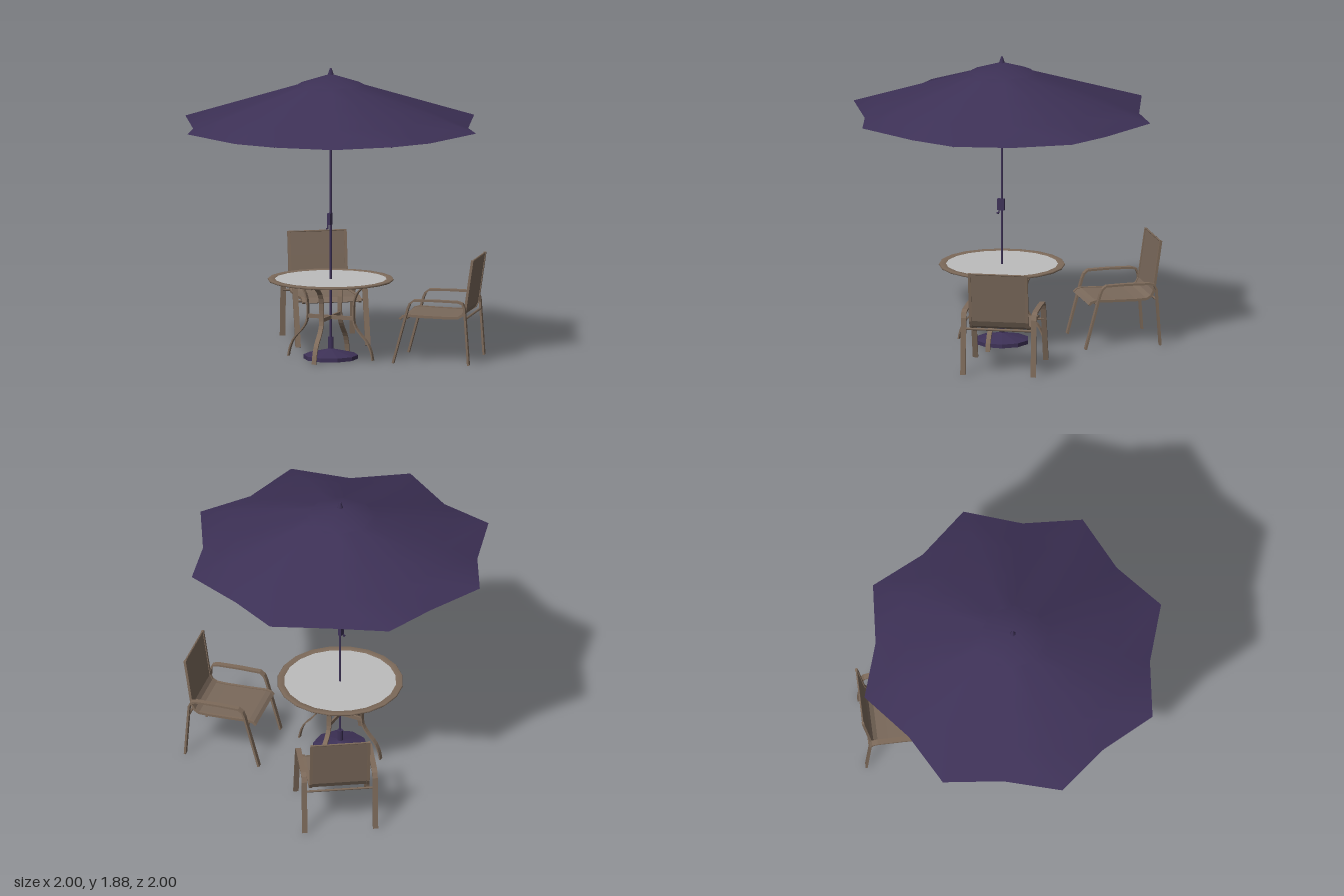
import * as THREE from 'three';

const mat = (name, color, side = THREE.FrontSide) => {
  const m = new THREE.MeshStandardMaterial({ color, side });
  m.name = name;
  return m;
};

export function createModel() {
  const purple = mat('purple canvas', 0x3d3156, THREE.DoubleSide);
  const frame = mat('bronze frame', 0x7d6a5a);
  const sling = mat('taupe sling', 0x7a695b);
  const glass = mat('pale glass', 0xbcbcbc);

  const root = new THREE.Group();
  const group = (name, parent = root) => {
    const g = new THREE.Group();
    g.name = name;
    parent.add(g);
    return g;
  };
  const add = (parent, name, geo, material, x = 0, y = 0, z = 0) => {
    const m = new THREE.Mesh(geo, material);
    m.name = name;
    m.position.set(x, y, z);
    parent.add(m);
    return m;
  };

  // flat bar following an (x, y) path, centred on z
  const strip = (pts, thick, width, steps = 0) => {
    let p = pts.map(([x, y]) => new THREE.Vector2(x, y));
    if (steps) p = new THREE.SplineCurve(p).getPoints(steps);
    const side = (s) => p.map((q, i) => {
      const d = p[Math.min(i + 1, p.length - 1)].clone().sub(p[Math.max(i - 1, 0)]).normalize();
      return new THREE.Vector2(q.x - d.y * s * thick / 2, q.y + d.x * s * thick / 2);
    });
    const shape = new THREE.Shape([...side(1), ...side(-1).reverse()]);
    return new THREE.ExtrudeGeometry(shape, { depth: width, bevelEnabled: false }).translate(0, 0, -width / 2);
  };

  // round rod between two points
  const rod = (parent, name, a, b, r, material, sides = 6) => {
    const A = new THREE.Vector3(...a), B = new THREE.Vector3(...b);
    const d = B.clone().sub(A);
    const m = add(parent, name, new THREE.CylinderGeometry(r, r, d.length(), sides), material);
    m.position.copy(A).add(B).multiplyScalar(0.5);
    m.quaternion.setFromUnitVectors(new THREE.Vector3(0, 1, 0), d.normalize());
    return m;
  };

  // ---- umbrella ----
  const umbrella = group('umbrella');

  // eight-panel cloth: ribs at even spokes, scalloped and sagging between them
  const cloth = (top, ribR, ribY, midR, midY, rings) => {
    const pos = [0, top, 0], idx = [];
    for (let k = 1; k <= rings; k++) {
      const t = k / rings;
      for (let i = 0; i < 16; i++) {
        const a = i * Math.PI / 8, mid = i % 2;
        const flatY = top + (ribY - top) * t * (mid ? midR / (ribR * Math.cos(Math.PI / 8)) : 1);
        const endY = top + (ribY - top) * midR / (ribR * Math.cos(Math.PI / 8));
        const y = mid ? flatY + (midY - endY) * t * t : flatY;
        const r = (mid ? midR : ribR) * t;
        pos.push(Math.cos(a) * r, y, Math.sin(a) * r);
      }
    }
    for (let i = 0; i < 16; i++) {
      const j = (i + 1) % 16;
      idx.push(0, 1 + j, 1 + i);
      for (let k = 0; k < rings - 1; k++) {
        const a = 1 + k * 16, b = a + 16;
        idx.push(a + i, a + j, b + i, a + j, b + j, b + i);
      }
    }
    const g = new THREE.BufferGeometry();
    g.setAttribute('position', new THREE.Float32BufferAttribute(pos, 3));
    g.setIndex(idx);
    g.computeVertexNormals();
    return g;
  };
  add(umbrella, 'canopy', cloth(1.835, 1, 1.515, 0.88, 1.49, 4), purple);
  add(umbrella, 'ventCap', cloth(1.845, 0.2, 1.779, 0.215, 1.774, 1), purple);
  add(umbrella, 'finial', new THREE.CylinderGeometry(0.006, 0.022, 0.05, 6), purple, 0, 1.855, 0);
  add(umbrella, 'pole', new THREE.CylinderGeometry(0.007, 0.007, 1.8, 8), purple, 0, 0.93, 0);
  add(umbrella, 'runner', new THREE.CylinderGeometry(0.016, 0.016, 0.04, 8), purple, 0, 1.535, 0);
  for (let i = 0; i < 8; i++) {
    const c = Math.cos(i * Math.PI / 4), s = Math.sin(i * Math.PI / 4);
    rod(umbrella, 'strut', [c * 0.01, 1.54, s * 0.01], [c * 0.47, 1.675, s * 0.47], 0.005, purple, 4);
    rod(umbrella, 'rib', [c * 0.02, 1.818, s * 0.02], [c * 0.98, 1.511, s * 0.98], 0.004, purple, 4);
  }

  // crank
  add(umbrella, 'crankHousing', new THREE.BoxGeometry(0.02, 0.075, 0.045), purple, -0.003, 0.905, 0.008);
  rod(umbrella, 'crankArm', [-0.008, 0.9, 0.02], [-0.012, 0.845, 0.025], 0.005, purple);
  rod(umbrella, 'crankKnob', [-0.012, 0.845, 0.025], [-0.012, 0.845, 0.04], 0.006, purple);

  // weighted foot
  const footProfile = [[0, 0], [0.175, 0], [0.175, 0.025], [0.03, 0.06], [0.018, 0.065], [0.018, 0.14], [0, 0.14]];
  const foot = new THREE.LatheGeometry(footProfile.map(([r, y]) => new THREE.Vector2(r, y)), 10).toNonIndexed();
  foot.computeVertexNormals();
  add(umbrella, 'umbrellaFoot', foot, purple);

  // ---- table ----
  const table = group('table');
  add(table, 'tableGlass', new THREE.CylinderGeometry(0.365, 0.365, 0.006, 20), glass, 0, 0.512, 0);
  const rimProfile = [[0.36, 0.506], [0.4, 0.506], [0.405, 0.512], [0.4, 0.519], [0.36, 0.519], [0.36, 0.506]];
  add(table, 'tableRim', new THREE.LatheGeometry(rimProfile.map(([r, y]) => new THREE.Vector2(r, y)), 20), frame);
  const legPath = [[0.38, 0.503], [0.27, 0.492], [0.2, 0.455], [0.165, 0.39], [0.157, 0.3], [0.165, 0.23],
    [0.2, 0.175], [0.25, 0.12], [0.278, 0.06], [0.29, 0.002]];
  for (let i = 0; i < 4; i++) {
    add(table, 'tableLeg', strip(legPath, 0.009, 0.03, 20), frame).rotation.y = i * Math.PI / 2;
  }
  for (const a of [0, Math.PI / 2]) {
    add(table, 'tableBrace', new THREE.BoxGeometry(0.31, 0.025, 0.012), frame, 0, 0.268, 0).rotation.y = a;
  }

  // ---- chairs: local +x is forward ----
  const sidePath = [[0.246, 0.002], [0.195, 0.19], [0.148, 0.36], [0.135, 0.39], [0.11, 0.41], [-0.02, 0.413],
    [-0.175, 0.41], [-0.208, 0.4], [-0.222, 0.37], [-0.235, 0.19], [-0.248, 0.002]];
  const seatPath = [[0.212, 0.28], [0.195, 0.297], [0.165, 0.305], [0.05, 0.3], [-0.1, 0.297], [-0.17, 0.3],
    [-0.2, 0.318], [-0.218, 0.352], [-0.242, 0.52], [-0.265, 0.675]];
  const chair = (name, x, z, fx, fz) => {
    const g = group(name);
    g.position.set(x, 0, z);
    g.rotation.y = -Math.atan2(fz, fx);
    add(g, 'sling', strip(seatPath, 0.006, 0.36), sling);
    for (const s of [-1, 1]) {
      add(g, 'armAndLegs', strip(sidePath, 0.013, 0.034), frame, 0, 0, s * 0.228);
      add(g, 'slingRail', strip(seatPath, 0.016, 0.018), frame, 0, 0, s * 0.184);
    }
    rod(g, 'frontCrossbar', [0.165, 0.288, -0.23], [0.165, 0.288, 0.23], 0.008, frame);
    rod(g, 'rearCrossbar', [-0.225, 0.3, -0.23], [-0.225, 0.3, 0.23], 0.008, frame);
    rod(g, 'backTopBar', [-0.265, 0.67, -0.185], [-0.265, 0.67, 0.185], 0.006, frame);
  };
  chair('rearChair', -0.296, -0.653, 0.548, 0.836);
  chair('leftChair', 0.649, -0.232, -0.987, 0.156);

  return root;
}
